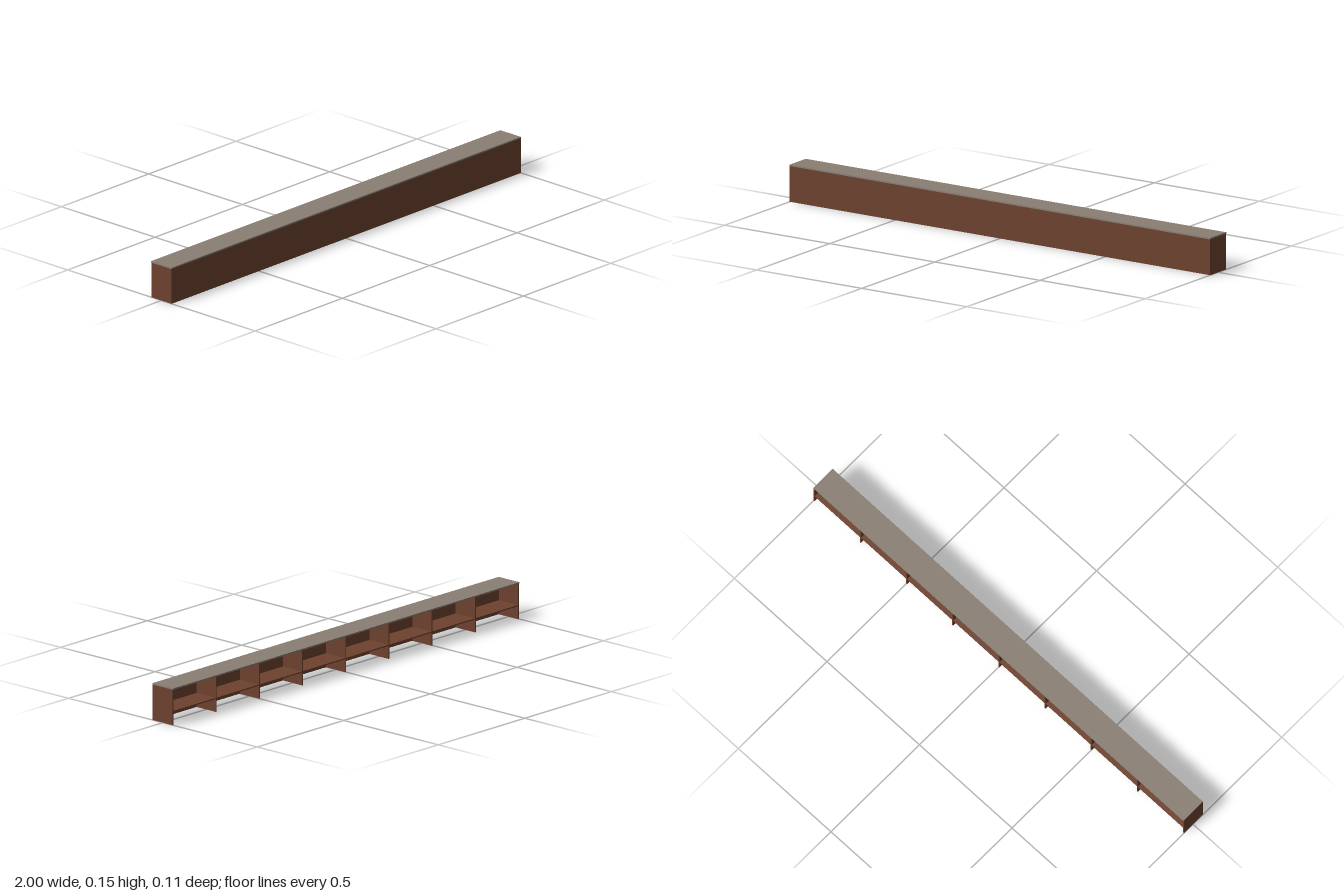
import * as THREE from 'three';

export function createModel() {
  const group = new THREE.Group();
  const wood = new THREE.MeshStandardMaterial({ color: 0x6e422f });
  wood.name = 'brown wood';
  const stone = new THREE.MeshStandardMaterial({ color: 0x8a7f73 });
  stone.name = 'grey counter';

  // box given by its min and max corners
  function box(name, material, [x0, y0, z0], [x1, y1, z1]) {
    const mesh = new THREE.Mesh(new THREE.BoxGeometry(x1 - x0, y1 - y0, z1 - z0), material);
    mesh.position.set((x0 + x1) / 2, (y0 + y1) / 2, (z0 + z1) / 2);
    mesh.name = name;
    group.add(mesh);
  }

  const top = 0.144, back = -0.052, front = 0.055, t = 0.005;

  // counter slab, overhanging slightly at the back
  box('countertop', stone, [-1, top, -0.055], [1, 0.15, front]);
  // long closed front
  box('frontPanel', wood, [-1, 0, front - t], [1, top, front]);

  // nine upright dividers making eight open bays, with a shelf in each
  const bays = 8, pitch = (2 - t) / bays;
  for (let i = 0; i <= bays; i++) {
    const x = -1 + i * pitch;
    box('divider', wood, [x, 0, back], [x + t, top, front - t]);
    if (i < bays) {
      box('shelf', wood, [x + t, 0.052, back + 0.001], [x + pitch, 0.057, front - t]);
    }
  }
  return group;
}
